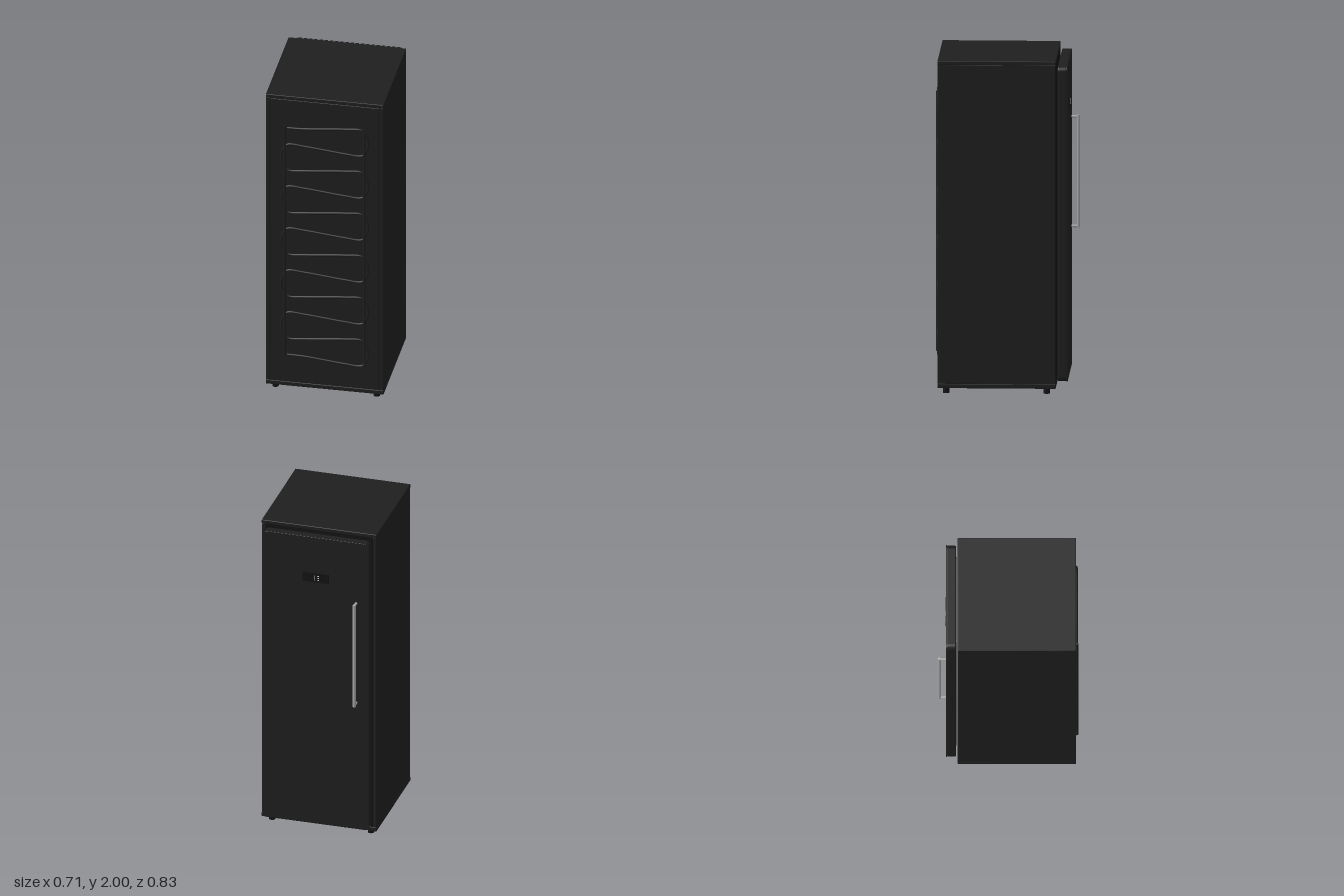
import * as THREE from 'three';
import { RoundedBoxGeometry } from 'three/addons/geometries/RoundedBoxGeometry.js';

export function createModel() {
  const model = new THREE.Group();
  model.name = 'uprightFridge';

  const mat = (name, color) => {
    const m = new THREE.MeshStandardMaterial({ color });
    m.name = name;
    return m;
  };
  const black = mat('cabinetBlack', 0x1f1f1f);
  const dark = mat('rubberBlack', 0x131313);
  const steel = mat('handleSteel', 0xa6a6a6);
  const light = mat('displayLight', 0xd8d8d8);

  const add = (name, geometry, material, x = 0, y = 0, z = 0, parent = model) => {
    const mesh = new THREE.Mesh(geometry, material);
    mesh.name = name;
    mesh.position.set(x, y, z);
    parent.add(mesh);
    return mesh;
  };
  // Box given by its limits on each axis, with softened edges
  const slab = (name, material, [x0, x1], [y0, y1], [z0, z1], r = 0.004) =>
    add(name, new RoundedBoxGeometry(x1 - x0, y1 - y0, z1 - z0, 2, r), material,
      (x0 + x1) / 2, (y0 + y1) / 2, (z0 + z1) / 2);

  // Cabinet shell
  slab('topPanel', black, [-0.355, 0.355], [1.976, 2], [-0.3, 0.4]);
  slab('basePanel', black, [-0.355, 0.355], [0.035, 0.062], [-0.3, 0.4]);
  for (const s of [-1, 1]) {
    const xs = s > 0 ? [0.33, 0.354] : [-0.354, -0.33];
    slab(s > 0 ? 'leftSidePanel' : 'rightSidePanel', black, xs, [0.06, 1.978], [-0.299, 0.399]);
  }
  slab('condenserPanel', black, [-0.327, 0.327], [0.064, 1.974], [0.37, 0.399], 0.003);
  slab('innerCabinet', dark, [-0.332, 0.332], [0.05, 1.985], [-0.298, 0.385], 0.002);

  // Feet
  for (const x of [-0.305, 0.305]) {
    for (const z of [-0.245, 0.35]) {
      add('foot', new THREE.CylinderGeometry(0.019, 0.019, 0.04, 20), dark, x, 0.02, z);
    }
  }

  // Door with rounded outline: gasket, body and a thin facing sheet
  const roundedRect = (w, h, r) => {
    const s = new THREE.Shape();
    const a = w / 2 - r, b = h / 2 - r;
    s.absarc(a, b, r, 0, Math.PI / 2);
    s.absarc(-a, b, r, Math.PI / 2, Math.PI);
    s.absarc(-a, -b, r, Math.PI, Math.PI * 1.5);
    s.absarc(a, -b, r, Math.PI * 1.5, Math.PI * 2);
    s.closePath();
    return s;
  };
  const sheet = (w, h, r, depth, bevel) => new THREE.ExtrudeGeometry(
    roundedRect(w - 2 * bevel, h - 2 * bevel, r), {
      depth: depth - 2 * bevel, bevelEnabled: bevel > 0, bevelThickness: bevel,
      bevelSize: bevel, bevelSegments: 3, curveSegments: 8,
    }).translate(0, 0, bevel);
  const door = new THREE.Group();
  door.name = 'door';
  door.position.y = 1.018;
  model.add(door);
  add('doorBody', sheet(0.656, 1.89, 0.024, 0.054, 0.006), black, 0, 0, -0.364, door);
  add('doorFacing', sheet(0.66, 1.894, 0.026, 0.006, 0.002), black, 0, 0, -0.369, door);
  add('doorGasket', sheet(0.55, 1.78, 0.02, 0.006, 0), dark, 0, 0, -0.312, door);

  // Handle: upright bar on two posts
  const handle = new THREE.Group();
  handle.name = 'handle';
  handle.position.set(-0.25, 1.237, 0);
  model.add(handle);
  add('handleBar', new THREE.CylinderGeometry(0.0095, 0.0095, 0.675, 20), steel, 0, 0, -0.409, handle);
  for (const y of [-0.329, 0.329]) {
    add('handlePost', new THREE.CylinderGeometry(0.008, 0.008, 0.042, 16).rotateX(Math.PI / 2),
      steel, 0, y, -0.388, handle);
  }

  // Display panel with a small readout of light bars
  add('displayPanel', new THREE.BoxGeometry(0.162, 0.06, 0.006), dark, 0, 1.7, -0.37);
  add('readoutBar', new THREE.BoxGeometry(0.004, 0.03, 0.002), light, 0.004, 1.7, -0.3735);
  for (const y of [1.687, 1.7, 1.713]) {
    add('readoutTick', new THREE.BoxGeometry(0.013, 0.004, 0.002), light, -0.016, y, -0.3735);
  }

  // Condenser coil: a wavy serpentine whose bends bulge past the uprights
  const points = [];
  const pitch = 0.1425, z = 0.4;
  for (let i = 0; i < 12; i++) {
    const y = 1.8 - i * pitch;
    const tilt = i % 2 ? -0.015 : 0.015;
    const dir = i % 2 ? -1 : 1;
    // Even rows run towards +x and odd rows run back
    for (const u of [-0.225, -0.12, 0, 0.12, 0.225]) {
      const x = u * dir;
      const wave = Math.sin((x / 0.225) * Math.PI * 0.55);
      points.push(new THREE.Vector3(x, y + tilt * wave, z));
    }
    if (i < 11) {
      points.push(new THREE.Vector3(0.252 * dir, y - pitch * 0.15, z));
      points.push(new THREE.Vector3(0.262 * dir, y - pitch * 0.5, z));
      points.push(new THREE.Vector3(0.252 * dir, y - pitch * 0.85, z));
    }
  }
  const coil = new THREE.CatmullRomCurve3(points, false, 'centripetal');
  add('condenserCoil', new THREE.TubeGeometry(coil, 600, 0.007, 8), black);

  // Upright rods holding the coil
  for (const x of [-0.24, 0.24]) {
    add('coilUpright', new THREE.CylinderGeometry(0.008, 0.008, 1.56, 12), black, x, 1.02, 0.405);
  }

  return model;
}
